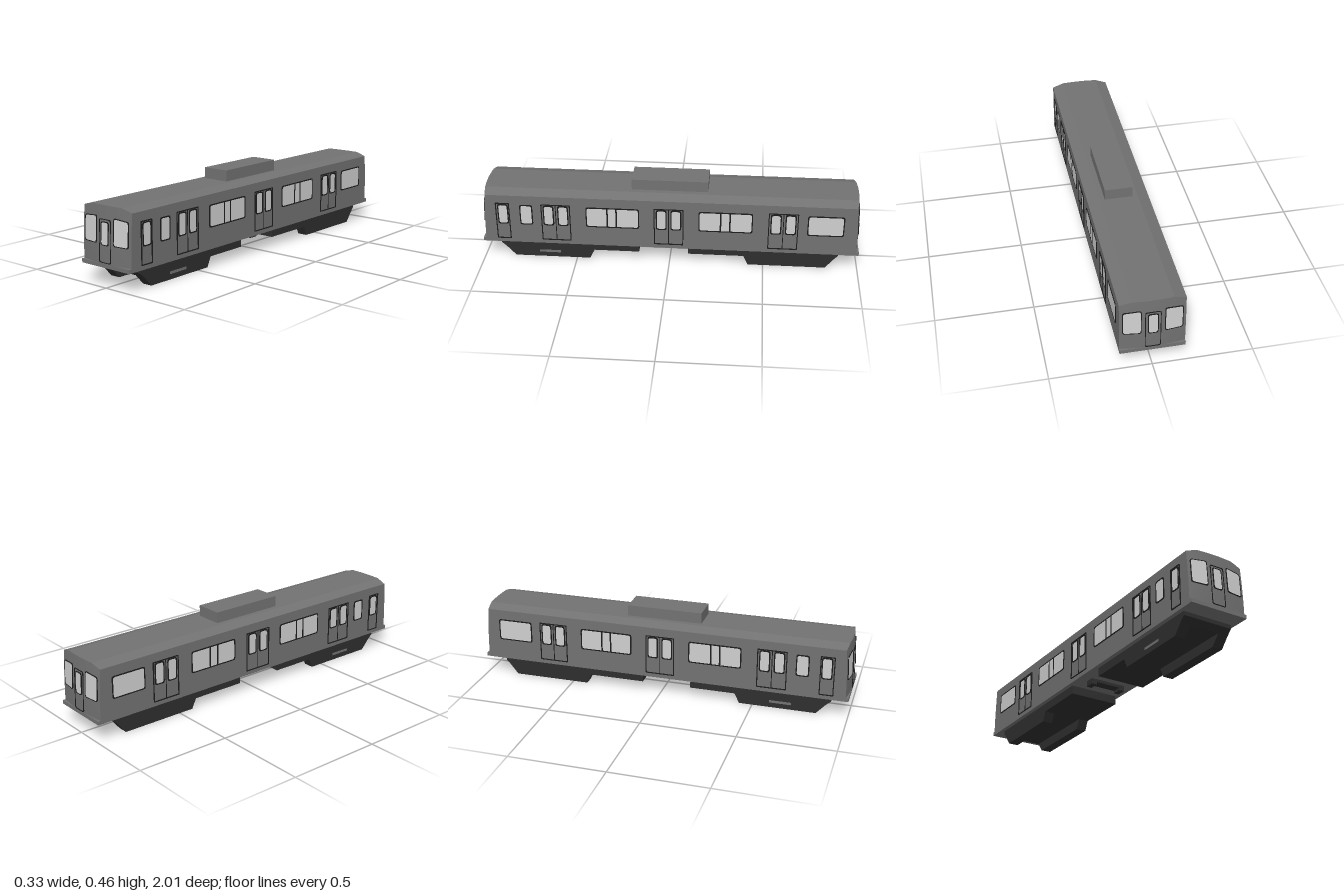
import * as THREE from 'three';

const mat = (name, color, side = THREE.FrontSide) => {
  const m = new THREE.MeshStandardMaterial({ color, side });
  m.name = name;
  return m;
};

export function createModel() {
  const car = new THREE.Group();
  car.name = 'railCar';
  const grey = mat('body grey', 0x727272);
  const black = mat('frame black', 0x1c1c1c);
  const glass = mat('window glass', 0xcfcfcf);
  const under = mat('underframe dark', 0x2e2e2e);

  const add = (name, geo, material) => {
    const m = new THREE.Mesh(geo, material);
    m.name = name;
    car.add(m);
    return m;
  };
  const box = (name, material, x0, x1, y0, y1, z0, z1) =>
    add(name, new THREE.BoxGeometry(x1 - x0, y1 - y0, z1 - z0), material)
      .position.set((x0 + x1) / 2, (y0 + y1) / 2, (z0 + z1) / 2);

  // Body rules: half width, sloped roof edge, gently bowed ends
  const W = 0.16, FLOOR = 0.118;
  const roofY = x => 0.398 - 0.018 * Math.max(0, (Math.abs(x) - 0.1) / 0.06);
  const endZ = (x, y) => 1 - 0.015 * (x / W) ** 2 - 0.013 * ((y - FLOOR) / 0.28) ** 2;
  const warp = (geo, rule) => {
    const p = geo.attributes.position, v = new THREE.Vector3();
    for (let i = 0; i < p.count; i++) {
      rule(v.fromBufferAttribute(p, i));
      p.setXYZ(i, v.x, v.y, v.z);
    }
    geo.computeVertexNormals();
    return geo;
  };

  // Curved ends
  for (const turn of [0, Math.PI]) {
    const cap = warp(new THREE.PlaneGeometry(1, 1, 16, 10), v => {
      v.x *= 2 * W;
      v.y = THREE.MathUtils.lerp(FLOOR, roofY(v.x), v.y + 0.5);
      v.z = endZ(v.x, v.y);
    });
    add(turn ? 'backEnd' : 'frontEnd', cap.rotateY(turn), grey);
  }

  // Walls and roof: one strip swept round the section, trimmed to the bowed ends
  const section = [];
  for (let i = 0; i <= 10; i++) section.push([-W, THREE.MathUtils.lerp(FLOOR, roofY(W), i / 10)]);
  for (let i = 1; i <= 16; i++) section.push([-W + i * 0.02, roofY(-W + i * 0.02)]);
  for (let i = 9; i >= 0; i--) section.push([W, THREE.MathUtils.lerp(FLOOR, roofY(W), i / 10)]);
  const n = section.length - 1;
  const shell = warp(new THREE.PlaneGeometry(n, 1, n, 1).toNonIndexed(), v => {
    const [x, y] = section[Math.round(v.x + n / 2)];
    v.set(x, y, endZ(x, y) * (v.y < 0 ? 1 : -1));
  });
  add('wallsAndRoof', shell, grey);
  box('floorSill', grey, -W, W, 0.098, FLOOR, -1, 1);
  box('roofUnit', grey, -0.073, 0.073, 0.39, 0.456, -0.2, 0.204);

  // Polygon with rounded corners; grow widens it on every side
  const outline = (pts, r, grow = 0, Type = THREE.Shape) => {
    const b = new THREE.Box2().setFromPoints(pts.map(p => new THREE.Vector2(...p)));
    const c = b.getCenter(new THREE.Vector2()), s = b.getSize(new THREE.Vector2());
    const q = pts.map(([x, y]) => new THREE.Vector2(
      c.x + (x - c.x) * (1 + 2 * grow / s.x), c.y + (y - c.y) * (1 + 2 * grow / s.y)));
    const path = new Type();
    q.forEach((p, i) => {
      const prev = q[(i + q.length - 1) % q.length], next = q[(i + 1) % q.length];
      const a = p.clone().add(prev.clone().sub(p).setLength(r));
      const d = p.clone().add(next.clone().sub(p).setLength(r));
      if (i) path.lineTo(a.x, a.y); else path.moveTo(a.x, a.y);
      path.quadraticCurveTo(p.x, p.y, d.x, d.y);
    });
    path.closePath();
    return path;
  };
  const rect = (x0, x1, y0, y1) => [[x0, y0], [x1, y0], [x1, y1], [x0, y1]];
  const plate = (shape, depth) =>
    new THREE.ExtrudeGeometry(shape, { depth, bevelEnabled: false, curveSegments: 4 });
  const frame = (pts, r, w) => {
    const s = outline(pts, r, w);
    s.holes.push(outline(pts, r, 0, THREE.Path));
    return s;
  };

  // Side windows and doors, the same on both sides
  for (const side of [1, -1]) {
    const put = (name, shape, depth, material) =>
      add(name, plate(shape, depth).rotateY(side * Math.PI / 2).translate(side * W, 0, 0), material);
    const span = (z0, z1, y0, y1) =>
      rect(Math.min(-side * z0, -side * z1), Math.max(-side * z0, -side * z1), y0, y1);
    const sideWindow = (z0, z1, bars = []) => {
      const pts = span(z0, z1, 0.216, 0.322);
      put('sideWindowGlass', outline(pts, 0.012), 0.002, glass);
      put('sideWindowFrame', frame(pts, 0.012, 0.006), 0.003, black);
      for (const z of bars)
        put('sideWindowBar', outline(span(z - 0.004, z + 0.004, 0.216, 0.322), 0.001), 0.003, black);
    };
    const sideDoor = (z0, z1) =>
      put('sideDoorFrame', frame(span(z0, z1, 0.125, 0.33), 0.004, 0.005), 0.0035, black);

    sideDoor(0.852, 0.917);
    sideWindow(0.86, 0.905);
    sideWindow(0.73, 0.787);
    for (const c of [0.601, 0.003, -0.597]) {
      sideDoor(c - 0.073, c + 0.073);
      sideWindow(c + 0.016, c + 0.061);
      sideWindow(c - 0.061, c - 0.016);
      put('sideDoorSeam', outline(span(c - 0.002, c + 0.002, 0.125, 0.33), 0.001), 0.002, black);
    }
    sideWindow(0.164, 0.435, [0.327, 0.279]);
    sideWindow(-0.432, -0.16, [-0.27, -0.319]);
    sideWindow(-0.907, -0.728);
  }

  // End windows and doors, bent onto the bowed ends
  const endWindow = s => {
    const pts = [[0.06, 0.215], [0.142, 0.215], [0.142, 0.334], [0.06, 0.342]];
    return s > 0 ? pts : pts.map(([x, y]) => [-x, y]).reverse();
  };
  for (const turn of [0, Math.PI]) {
    const put = (name, shape, depth, material) => {
      const geo = warp(plate(shape, depth), v => { v.z += endZ(v.x, v.y); });
      add(name, geo.rotateY(turn), material);
    };
    for (const pts of [endWindow(1), endWindow(-1), rect(-0.022, 0.021, 0.211, 0.317)]) {
      put('endWindowGlass', outline(pts, 0.012), 0.003, glass);
      put('endWindowFrame', frame(pts, 0.012, 0.004), 0.004, black);
    }
    put('endDoorFrame', frame(rect(-0.036, 0.035, 0.125, 0.33), 0.01, 0.003), 0.004, black);
  }

  // Underframe: profiles in z and y, extruded across the car
  const across = (name, pts, x0, x1) => {
    const shape = new THREE.Shape(pts.map(([z, y]) => new THREE.Vector2(-z, y)));
    add(name, plate(shape, x1 - x0).rotateY(Math.PI / 2).translate(x0, 0, 0), under);
  };
  const units = [
    { deck: [[0.91, 0.1], [0.91, 0.077], [0.882, 0.052], [0.164, 0.052], [0.164, 0.1]],
      leg: [[0.883, 0.053], [0.835, 0], [0.43, 0], [0.405, 0.053]] },
    { deck: [[-0.1, 0.1], [-0.1, 0.052], [-0.872, 0.052], [-0.895, 0.077], [-0.895, 0.1]],
      leg: [[-0.395, 0.053], [-0.42, 0], [-0.83, 0], [-0.873, 0.053]] },
  ];
  for (const { deck, leg } of units) {
    across('underframeDeck', deck, -0.137, 0.137);
    across('underframeSkirt', leg, 0.081, 0.137);
    across('underframeSkirt', leg, -0.137, -0.081);
  }
  box('centreBracket', under, -0.1, 0.1, 0.082, 0.1, -0.013, 0.04);
  for (const s of [1, -1])
    box('centreBracketFoot', under, s * 0.085 - 0.015, s * 0.085 + 0.015, 0.068, 0.084, -0.013, 0.04);

  // Small fittings on the front skirts
  for (const s of [1, -1])
    box('skirtFitting', grey, s * 0.137 - 0.002, s * 0.137 + 0.002, 0.027, 0.04, 0.59, 0.705);

  return car;
}
